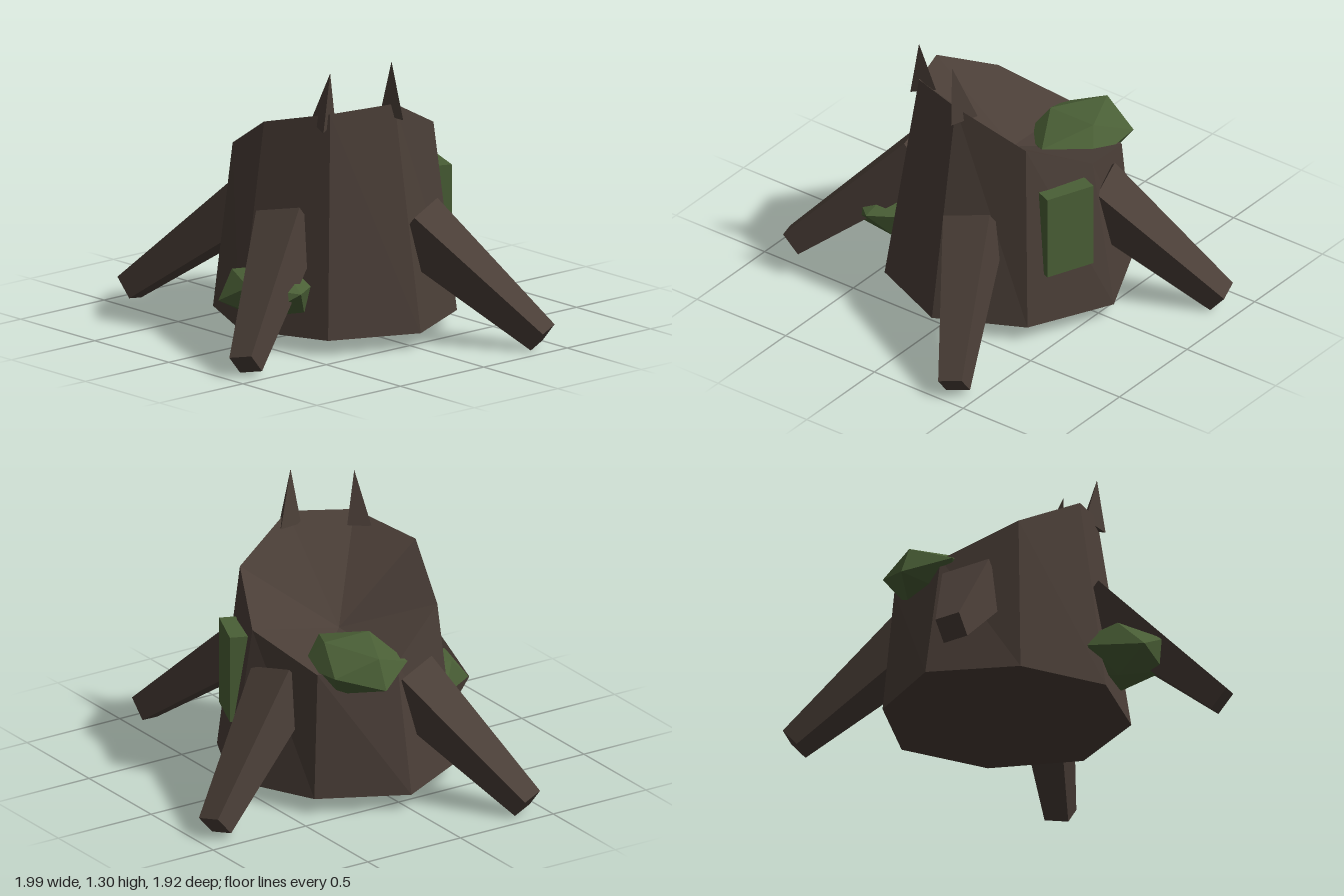
import * as THREE from 'three';

const bark = new THREE.MeshStandardMaterial({ color: 0x4a3e37, flatShading: true });
bark.name = 'dark bark';
const moss = new THREE.MeshStandardMaterial({ color: 0x4a5f36, flatShading: true });
moss.name = 'moss green';

// Flat-shaded geometry from a list of triangle corners
function facets(triangles) {
  const geo = new THREE.BufferGeometry().setFromPoints(triangles);
  geo.computeVertexNormals();
  return geo;
}

// Eight-sided trunk with a slanted, hollowed cut top
function stumpGeometry() {
  const toPoint = (p) => new THREE.Vector3(...p);
  const bottom = [ // x, y, z of the foot, starting at the +x side
    [0.575, 0.07, 0], [0.4, 0.07, 0.4], [-0.01, 0.07, 0.565], [-0.4, 0.07, 0.38],
    [-0.605, 0.07, 0], [-0.405, 0.07, -0.39], [-0.01, 0.07, -0.58], [0.38, 0.07, -0.39],
  ].map(toPoint);
  const top = [ // cut edge, same order
    [0.4, 1.1, 0], [0.29, 1.08, 0.29], [-0.01, 1.01, 0.42], [-0.335, 0.83, 0.32],
    [-0.49, 0.67, 0], [-0.37, 0.65, -0.35], [-0.01, 0.77, -0.46], [0.3, 0.94, -0.32],
  ].map(toPoint);
  const topMid = new THREE.Vector3(-0.02, 0.68, 0);
  const bottomMid = new THREE.Vector3(-0.015, 0.07, 0);
  const tris = [];
  for (let i = 0; i < 8; i++) {
    const j = (i + 1) % 8;
    tris.push(bottom[i], top[i], top[j], bottom[i], top[j], bottom[j]);
    tris.push(topMid, top[j], top[i], bottomMid, bottom[i], bottom[j]);
  }
  return facets(tris);
}

// Tapered square root running from the trunk to the ground along +x
function rootGeometry(basePoint, tipPoint) {
  const base = new THREE.Vector3(...basePoint);
  const tip = new THREE.Vector3(...tipPoint);
  const d = tip.clone().sub(base);
  const geo = new THREE.CylinderGeometry(0.08, 0.158, d.length(), 4);
  geo.rotateY(Math.PI / 4 + 0.24);
  d.normalize();
  const side = new THREE.Vector3(-d.z, 0, d.x).normalize();
  const up = side.clone().cross(d);
  const mid = base.add(tip).multiplyScalar(0.5);
  return geo.applyMatrix4(new THREE.Matrix4().makeBasis(side, d, up).setPosition(mid));
}

// Three-sided splinter; base corners run counter-clockwise seen from above
function splinterGeometry(apex, corners) {
  const tip = new THREE.Vector3(...apex);
  const c = corners.map((p) => new THREE.Vector3(...p));
  const tris = [c[2], c[1], c[0]];
  for (let i = 0; i < 3; i++) tris.push(c[i], c[(i + 1) % 3], tip);
  return facets(tris);
}

// Faceted moss clump, turned first and then flattened
function clumpGeometry(euler, scale) {
  return new THREE.IcosahedronGeometry(1, 0)
    .applyMatrix4(new THREE.Matrix4().makeRotationFromEuler(euler))
    .scale(...scale);
}

export function createModel() {
  const group = new THREE.Group();
  const add = (name, geo, mat, pos = [0, 0, 0], turn = 0) => {
    const mesh = new THREE.Mesh(geo, mat);
    mesh.name = name;
    mesh.position.set(...pos);
    mesh.rotation.y = turn;
    group.add(mesh);
  };

  add('stump', stumpGeometry(), bark);

  // Four roots, each a quarter turn further round the trunk
  const roots = [
    ['leftRoot', [0.405, 0.525, -0.11], [0.942, 0.052, -0.405]],
    ['frontRoot', [0.385, 0.555, -0.115], [0.903, 0.052, -0.41]],
    ['rightRoot', [0.395, 0.525, -0.115], [0.942, 0.052, -0.4]],
    ['backRoot', [0.37, 0.54, -0.125], [0.907, 0.052, -0.377]],
  ];
  roots.forEach(([name, base, tip], i) =>
    add(name, rootGeometry(base, tip), bark, [0, 0, 0], (-i * Math.PI) / 2));

  // Splinters on the high side of the cut
  add('frontSplinter', splinterGeometry([0.29, 1.27, 0.29],
    [[0.18, 1.03, 0.31], [0.295, 1.0, 0.335], [0.25, 1.03, 0.225]]), bark);
  add('sideSplinter', splinterGeometry([0.4, 1.3, 0.02],
    [[0.345, 1.05, 0.04], [0.445, 1.03, -0.01], [0.335, 1.05, -0.075]]), bark);

  // Moss clumps and a moss slab on the back
  add('topMoss', clumpGeometry(new THREE.Euler(0, Math.PI / 2, -0.2, 'ZYX'), [0.29, 0.13, 0.23]),
    moss, [-0.333, 0.65, -0.135]);
  add('frontMoss', clumpGeometry(new THREE.Euler(2.42, -0.895, 1.286), [0.23, 0.13, 0.24]),
    moss, [0.14, 0.275, 0.53]);
  add('backMoss', new THREE.BoxGeometry(0.24, 0.41, 0.09), moss, [0.165, 0.515, -0.44], -0.39);

  return group;
}
